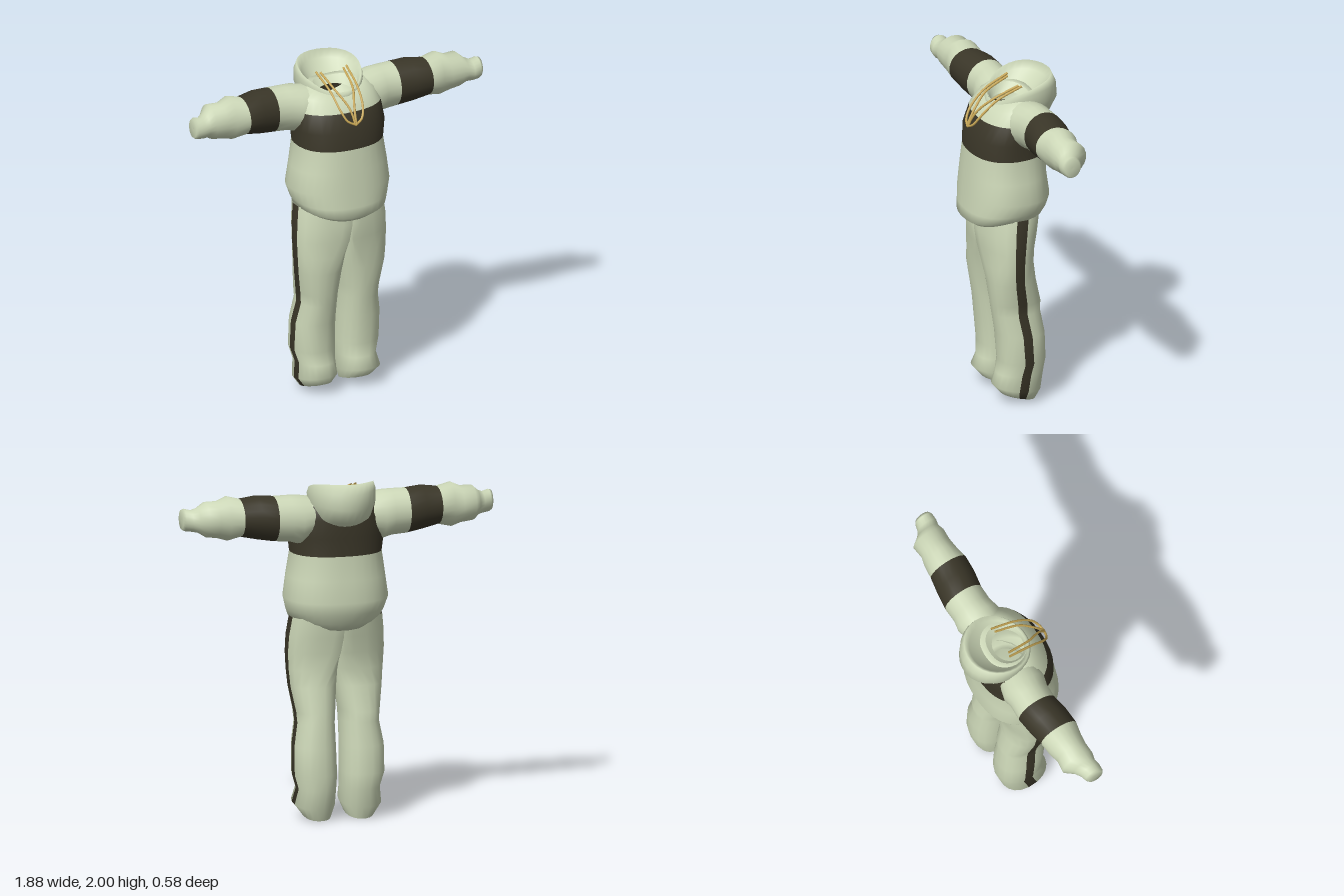
import * as THREE from 'three';

const flat = (name, color) => {
  const m = new THREE.MeshStandardMaterial({ color, side: THREE.DoubleSide });
  m.name = name;
  return m;
};

const lerp = THREE.MathUtils.lerp;
const soft = (v, p) => Math.sign(v) * Math.abs(v) ** p;

// Skin closed rings of points; pick(i, j) chooses the material of each quad
function loft(rings, pick = () => 0) {
  const n = rings[0].length;
  const lists = [[], []];
  for (let i = 0; i < rings.length - 1; i++) {
    for (let j = 0; j < n; j++) {
      const k = (j + 1) % n;
      const a = i * n + j, b = i * n + k, c = a + n, d = b + n;
      lists[pick(i, j)].push(a, c, b, b, c, d);
    }
  }
  const geo = new THREE.BufferGeometry();
  geo.setAttribute('position', new THREE.Float32BufferAttribute(rings.flat(2), 3));
  geo.setIndex([...lists[0], ...lists[1]]);
  geo.addGroup(0, lists[0].length, 0);
  geo.addGroup(lists[0].length, lists[1].length, 1);
  geo.computeVertexNormals();
  return geo;
}

// Points round a ring, from the side towards the front; half a step of offset
const angles = (n) => Array.from({ length: n }, (_, j) => ((j - 0.5) / n) * Math.PI * 2);

// Horizontal ring: height at front and back, half width, z at front and back, side lift
function bodyRing([yf, yb, hw, zf, zb, lift = 0], n, p = 1) {
  return angles(n).map((a) => {
    const c = soft(Math.cos(a), p), s = soft(Math.sin(a), p);
    const y = lerp(yb, yf, (s + 1) / 2) + lift * c * c;
    return [hw * c, y, (zf + zb) / 2 + ((zf - zb) / 2) * s];
  });
}

export function createModel() {
  const model = new THREE.Group();
  model.name = 'tracksuit';
  const sage = flat('sage cloth', 0xcdd8b8);
  const dark = flat('dark stripe', 0x3a3628);
  const gold = flat('gold cord', 0xc9a855);
  const cloth = [sage, dark];

  const add = (name, geo, mat, parent = model) => {
    const mesh = new THREE.Mesh(geo, mat);
    mesh.name = name;
    parent.add(mesh);
    return mesh;
  };

  // Sweatshirt body, with a gathered hem and a chest band
  const torso = [
    [1.15, 1.16, 0.21, 0.2, -0.1, 0.03],
    [1.115, 1.12, 0.24, 0.24, -0.14, 0.05],
    [1.15, 1.16, 0.265, 0.288, -0.165, 0.03],
    [1.21, 1.22, 0.283, 0.283, -0.195, 0.01],
    [1.31, 1.29, 0.305, 0.275, -0.212],
    [1.43, 1.42, 0.288, 0.265, -0.195],
    [1.565, 1.565, 0.266, 0.253, -0.19],
    [1.67, 1.67, 0.28, 0.245, -0.188],
    [1.78, 1.78, 0.27, 0.205, -0.192],
    [1.835, 1.85, 0.24, 0.15, -0.175, 0.02],
    [1.86, 1.89, 0.18, 0.12, -0.14, 0.03],
    [1.86, 1.89, 0.125, 0.105, -0.11, 0.02],
  ];
  const torsoSides = 32;
  const torsoAngles = angles(torsoSides);
  add('sweatshirtBody', loft(torso.map((r) => bodyRing(r, torsoSides, 0.86)), (i, j) =>
    i === 6 || i === 7 || (i === 8 && Math.sin(torsoAngles[j]) < -0.35) ? 1 : 0), cloth);

  // Hood lying open: out over the back, up to the rim, then down to the neck
  const hood = [
    [1.82, 1.73, 0.15, 0.12, -0.17],
    [1.835, 1.77, 0.175, 0.13, -0.245],
    [1.845, 1.85, 0.195, 0.135, -0.29, 0.03],
    [1.86, 1.94, 0.198, 0.13, -0.282, 0.04],
    [1.875, 2.0, 0.188, 0.12, -0.255, 0.035],
    [1.865, 1.955, 0.165, 0.112, -0.225, 0.025],
    [1.85, 1.89, 0.13, 0.105, -0.15, 0.01],
    [1.83, 1.85, 0.1, 0.1, -0.08],
  ];
  add('hood', loft(hood.map((r) => bodyRing(r, 28))), cloth);

  // Sleeve rings: x, bottom y, top y, back z, front z
  const sleeve = [
    [0.17, 1.67, 1.9, -0.15, 0.1],
    [0.25, 1.63, 1.915, -0.17, 0.1],
    [0.31, 1.648, 1.918, -0.16, 0.082],
    [0.4, 1.655, 1.918, -0.165, 0.08],
    [0.5, 1.67, 1.925, -0.155, 0.095],
    [0.6, 1.69, 1.91, -0.138, 0.1],
    [0.68, 1.672, 1.932, -0.13, 0.083],
    [0.74, 1.69, 1.905, -0.115, 0.078],
    [0.81, 1.7, 1.905, -0.125, 0.08],
    [0.85, 1.725, 1.87, -0.075, 0.07],
    [0.885, 1.73, 1.855, -0.05, 0.078],
    [0.925, 1.735, 1.865, -0.04, 0.075],
    [0.94, 1.745, 1.86, -0.028, 0.065],
    [0.938, 1.8, 1.802, 0.018, 0.02],
  ];
  const sleeveGeo = loft(sleeve.map(([x, y0, y1, z0, z1]) => angles(20).map((a) => [
    x,
    (y0 + y1) / 2 + ((y1 - y0) / 2) * Math.cos(a),
    (z0 + z1) / 2 - ((z1 - z0) / 2) * Math.sin(a),
  ])), (i) => (i === 3 || i === 4 ? 1 : 0));

  // Trouser rings: y front, y back, inner x, outer x, front z, back z, blend into hips
  const leg = [
    [0.06, 0, 0.045, 0.212, 0.11, -0.1, 0],
    [0.12, 0.07, 0.02, 0.262, 0.16, -0.125, 0],
    [0.19, 0.18, 0.02, 0.245, 0.135, -0.148, 0],
    [0.27, 0.27, 0.015, 0.272, 0.125, -0.155, 0],
    [0.45, 0.43, 0.02, 0.27, 0.142, -0.15, 0],
    [0.57, 0.57, 0.022, 0.246, 0.16, -0.128, 0],
    [0.64, 0.63, 0.018, 0.252, 0.17, -0.13, 0],
    [0.78, 0.78, 0.002, 0.278, 0.188, -0.095, 0.1],
    [0.88, 0.88, -0.005, 0.288, 0.198, -0.092, 0.5],
    [0.98, 0.98, 0, 0.294, 0.208, -0.105, 0.9],
    [1.08, 1.08, 0, 0.29, 0.22, -0.13, 1],
    [1.19, 1.19, 0, 0.275, 0.21, -0.15, 1],
  ];
  const legGeo = loft(leg.map(([yf, yb, xi, xo, zf, zb, hip]) => angles(20).map((a) => {
    const c = soft(Math.cos(a), 0.88), s = soft(Math.sin(a), 0.88);
    const round = (xi + xo) / 2 + ((xo - xi) / 2) * c;
    return [
      lerp(round, Math.max(0, xo * c), hip),
      lerp(yb, yf, (s + 1) / 2),
      (zf + zb) / 2 + ((zf - zb) / 2) * s,
    ];
  })), (i, j) => (j === 0 ? 1 : 0));

  // Drawstring: an outer and an inner strand on each side
  const strands = [
    [[0.1, 1.96, -0.04], [0.088, 1.89, 0.115], [0.072, 1.8, 0.21], [0.045, 1.745, 0.245], [0, 1.72, 0.258]],
    [[0.075, 1.955, -0.03], [0.055, 1.89, 0.12], [0.02, 1.82, 0.2], [0.008, 1.77, 0.235], [0.004, 1.725, 0.256]],
  ].map((pts) => new THREE.TubeGeometry(
    new THREE.CatmullRomCurve3(pts.map((p) => new THREE.Vector3(...p))), 24, 0.007, 6));

  for (const [side, sx] of [['left', 1], ['right', -1]]) {
    const half = new THREE.Group();
    half.name = side + 'Side';
    half.scale.x = sx;
    add(side + 'Sleeve', sleeveGeo, cloth, half);
    add(side + 'TrouserLeg', legGeo, cloth, half);
    strands.forEach((g, i) => add(side + 'Cord' + (i + 1), g, gold, half));
    model.add(half);
  }
  return model;
}
